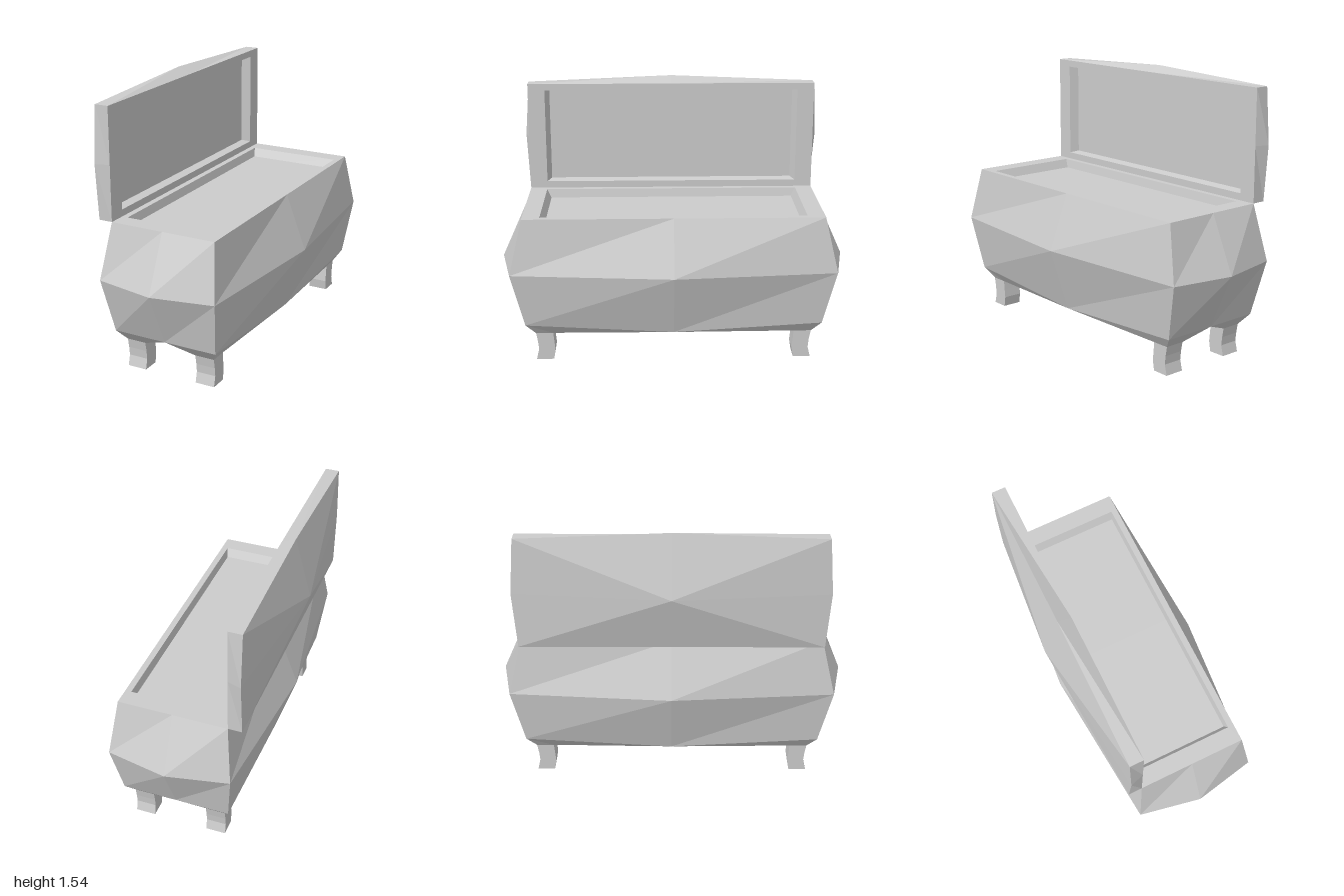
import * as THREE from 'three';

const material = new THREE.MeshStandardMaterial({ color: 0xcccccc, flatShading: true });

// Flat-shaded mesh from polygons (each a list of [x, y, z], counter-clockwise)
function faceted(name, polygons) {
  const pos = [];
  for (const p of polygons) {
    for (let i = 1; i < p.length - 1; i++) pos.push(...p[0], ...p[i], ...p[i + 1]);
  }
  const geometry = new THREE.BufferGeometry();
  geometry.setAttribute('position', new THREE.Float32BufferAttribute(pos, 3));
  geometry.computeVertexNormals();
  const mesh = new THREE.Mesh(geometry, material);
  mesh.name = name;
  return mesh;
}

// Quads between successive closed rings
function loft(rings) {
  const quads = [];
  for (let k = 0; k < rings.length - 1; k++) {
    const a = rings[k], b = rings[k + 1];
    a.forEach((p, i) => {
      const j = (i + 1) % a.length;
      quads.push([p, a[j], b[j], b[i]]);
    });
  }
  return quads;
}

// Rectangle with edge midpoints that can bulge outwards or change height
function ring(y, hx, hz, { right = 0, left = 0, ends = 0, sideY = y } = {}) {
  return [
    [hx + right, sideY, 0], [hx, y, -hz], [0, y, -hz - ends], [-hx, y, -hz],
    [-hx - left, sideY, 0], [-hx, y, hz], [0, y, hz + ends], [hx, y, hz],
  ];
}

// Mirrored underside quarters, meeting the tops of the legs
function underside() {
  const A = [0.315, 0.23, 0.855], F = [0, 0.23, 0.855], S = [0.315, 0.18, 0], C = [0, 0.175, 0];
  const P1 = [0.275, 0.165, 0.8], P2 = [0.16, 0.165, 0.8];
  const P3 = [0.275, 0.165, 0.7], P4 = [0.16, 0.165, 0.7];
  const quarter = [[A, F, P2, P1], [A, P1, P3, S], [S, P3, P4, C], [F, C, P4, P2]];
  const polygons = [];
  for (const sx of [1, -1]) for (const sz of [1, -1]) {
    for (const q of quarter) {
      const m = q.map(([x, y, z]) => [x * sx, y, z * sz]);
      polygons.push(sx * sz > 0 ? m : m.reverse());
    }
  }
  return polygons;
}

// Short leg with a slight bend at the ankle
function leg(name, sx, sz) {
  const levels = [[0, 0.7, 0.8], [0.06, 0.69, 0.785], [0.11, 0.695, 0.79], [0.165, 0.7, 0.8]];
  const rings = levels.map(([y, inner, outer]) => {
    const [x0, x1] = [0.16 * sx, 0.275 * sx].sort((a, b) => a - b);
    const [z0, z1] = [inner * sz, outer * sz].sort((a, b) => a - b);
    return [[x1, y, z1], [x1, y, z0], [x0, y, z0], [x0, y, z1]];
  });
  return faceted(name, [...loft(rings), [...rings[0]].reverse()]);
}

export function createModel() {
  const model = new THREE.Group();
  model.name = 'chest';

  const base = new THREE.Group();
  base.name = 'base';
  base.position.x = 0.025;
  model.add(base);

  // Bulging body with a shallow tray in its top
  const floor = ring(0.82, 0.27, 0.73);
  base.add(faceted('body', [
    ...loft([
      ring(0.23, 0.315, 0.855, { sideY: 0.18 }),
      ring(0.55, 0.355, 0.93, { right: 0.08, left: 0.08, ends: 0.07 }),
      ring(0.87, 0.315, 0.855),
      ring(0.87, 0.28, 0.755),
      floor,
    ]),
    floor,
    ...underside(),
  ]));

  // Four legs
  for (const [sx, side] of [[1, 'Left'], [-1, 'Right']]) {
    for (const [sz, end] of [[1, 'front'], [-1, 'back']]) base.add(leg(`${end}${side}Leg`, sx, sz));
  }

  // Open lid, built lying face up and then stood on its hinge side
  const shell = ring(-0.37, 0.32, 0.855, { left: 0.035, ends: 0.025 });
  const panel = ring(-0.34, 0.27, 0.73);
  const apex = [0, -0.465, 0];
  const lid = faceted('lid', [
    ...shell.map((p, i) => [apex, shell[(i + 1) % shell.length], p]),
    ...loft([shell, ring(-0.29, 0.32, 0.855), ring(-0.29, 0.28, 0.755), panel]),
    panel,
  ]);
  lid.rotation.z = -Math.PI / 2;
  lid.position.y = 1.19;
  model.add(lid);

  return model;
}
